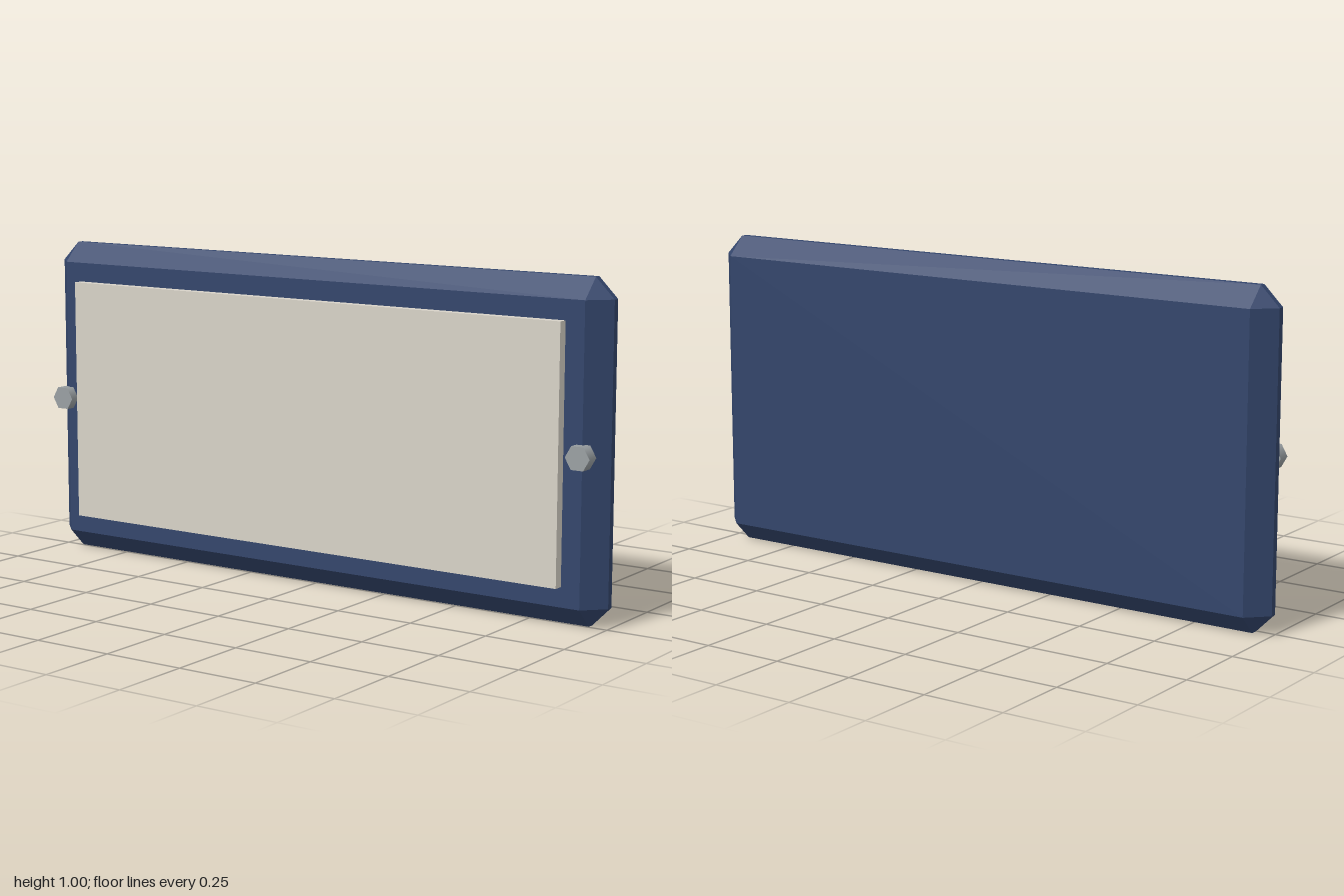
import * as THREE from 'three';
import { ConvexGeometry } from 'three/addons/geometries/ConvexGeometry.js';

// Box with every edge and corner cut at the same bevel
function chamferedBox(w, h, d, bevel) {
  const half = [w / 2, h / 2, d / 2];
  const points = [];
  for (const sx of [-1, 1]) for (const sy of [-1, 1]) for (const sz of [-1, 1]) {
    for (let axis = 0; axis < 3; axis++) {
      const p = half.map((v, i) => (i === axis ? v : v - bevel));
      points.push(new THREE.Vector3(sx * p[0], sy * p[1], sz * p[2]));
    }
  }
  return new ConvexGeometry(points);
}

export function createModel() {
  const model = new THREE.Group();
  model.name = 'wallSign';

  const add = (name, geometry, material, x, y, z) => {
    const mesh = new THREE.Mesh(geometry, material);
    mesh.name = name;
    mesh.position.set(x, y, z);
    model.add(mesh);
  };

  const blue = new THREE.MeshStandardMaterial({ color: 0x33456b, flatShading: true });
  const cream = new THREE.MeshStandardMaterial({ color: 0xd8d3c8 });
  const steel = new THREE.MeshStandardMaterial({ color: 0x9aa0a3 });

  // Bevelled backing board
  add('board', chamferedBox(2, 1, 0.14, 0.06), blue, 0, 0.5, -0.015);

  // Raised blank plate on the front
  add('facePlate', new THREE.BoxGeometry(1.76, 0.76, 0.04), cream, 0, 0.5, 0.065);

  // Hexagonal bolts at both ends, points facing sideways
  const bolt = new THREE.CylinderGeometry(0.039, 0.039, 0.04, 6, 1, false, Math.PI / 6);
  bolt.rotateX(Math.PI / 2);
  for (const side of [-1, 1]) {
    add(side > 0 ? 'leftBolt' : 'rightBolt', bolt, steel, side * 0.94, 0.5, 0.065);
  }

  return model;
}
